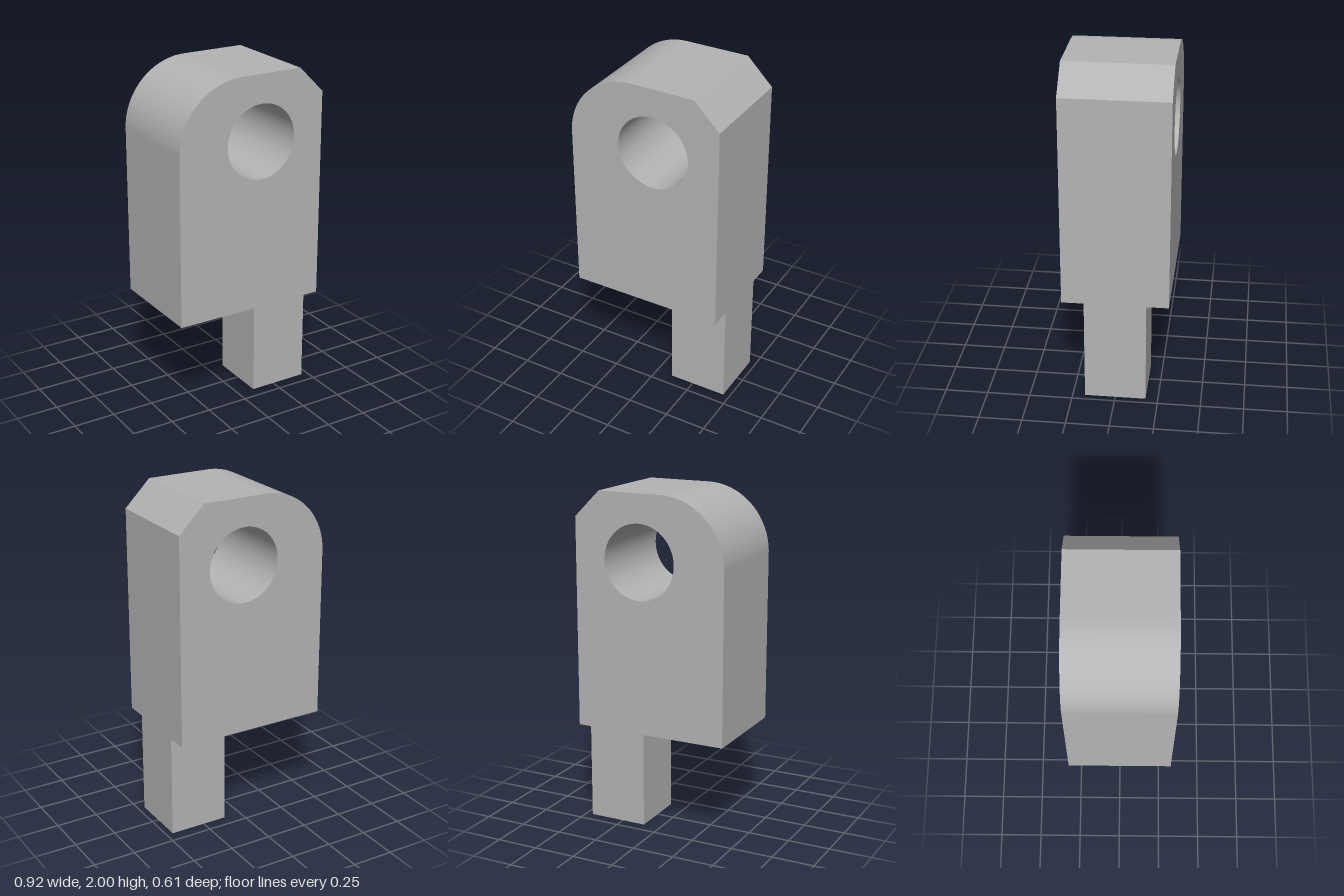
import * as THREE from 'three';
import { toCreasedNormals } from 'three/addons/utils/BufferGeometryUtils.js';

export function createModel() {
  const group = new THREE.Group();
  const grey = new THREE.MeshStandardMaterial({ color: 0xb4b4b4 });
  grey.name = 'plain grey';

  const halfWidth = 0.46, bottom = 0.617, top = 2;
  const depth = 0.612, corner = 0.385, chamfer = 0.153;

  // Block outline: one rounded top corner, one chamfered, with a round eye
  const outline = new THREE.Shape();
  outline.moveTo(-halfWidth, bottom);
  outline.lineTo(halfWidth, bottom);
  outline.lineTo(halfWidth, top - chamfer);
  outline.lineTo(halfWidth - chamfer, top);
  outline.lineTo(-halfWidth + corner, top);
  outline.absarc(-halfWidth + corner, top - corner, corner, Math.PI / 2, Math.PI, false);
  outline.closePath();

  const eye = new THREE.Path();
  eye.absarc(0.058, 1.617, 0.217, 0, Math.PI * 2, true);
  outline.holes.push(eye);

  const blockGeometry = new THREE.ExtrudeGeometry(outline, {
    depth, bevelEnabled: false, curveSegments: 32,
  });
  blockGeometry.translate(0, 0, -depth / 2);
  const block = new THREE.Mesh(toCreasedNormals(blockGeometry, Math.PI / 7), grey);
  block.name = 'block';
  group.add(block);

  // Narrow tang below, flush with the chamfered side
  const tangWidth = 0.354;
  const tang = new THREE.Mesh(new THREE.BoxGeometry(tangWidth, bottom, 0.356), grey);
  tang.name = 'tang';
  tang.position.set(halfWidth - tangWidth / 2, bottom / 2, 0);
  group.add(tang);

  return group;
}
